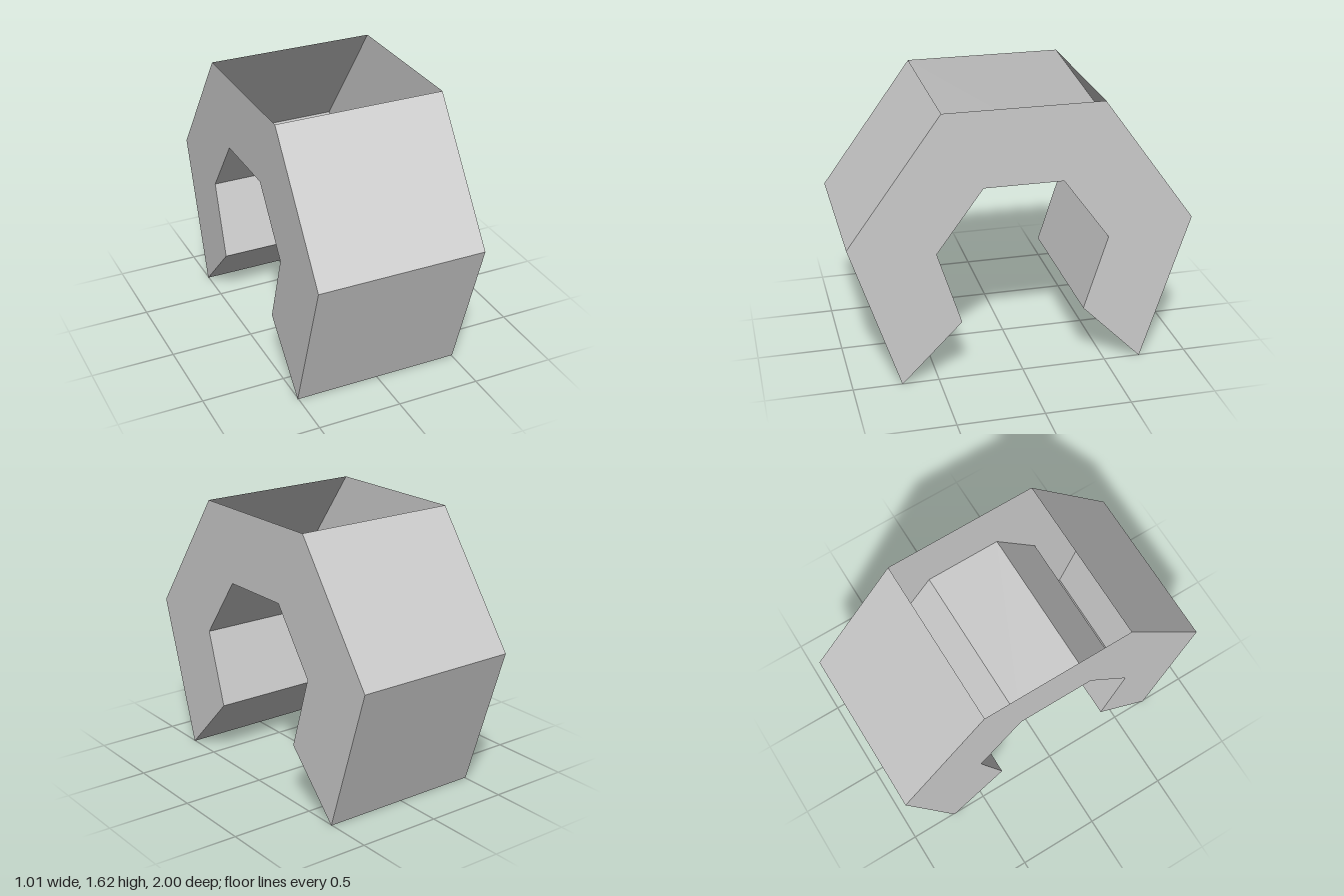
import * as THREE from 'three';

const HALF_WIDTH = 0.505;

// Front half of the arch profile as [z, y]: outer corners going up, inner corners going down
const outer = [[0.715, 0], [1, 0.875], [0.46, 1.62]];
const inner = [[0.23, 1.17], [0.5, 0.8], [0.36, 0.36]];
const mirror = (pts) => pts.map(([z, y]) => [-z, y]).reverse();
const profile = [...outer, ...mirror(outer), ...mirror(inner), ...inner];

// One name per profile edge; the top edge stays open so the hollow shell shows
const edgeNames = [
  'frontLowerOuter', 'frontUpperOuter', null, 'backUpperOuter', 'backLowerOuter', 'backFoot',
  'backLowerInner', 'backUpperInner', 'innerCeiling', 'frontUpperInner', 'frontLowerInner', 'frontFoot',
];

// Flat panel across the full width, along one edge of the profile
function panelGeometry([z0, y0], [z1, y1]) {
  const w = HALF_WIDTH;
  const geo = new THREE.BufferGeometry();
  geo.setAttribute('position', new THREE.Float32BufferAttribute(
    [-w, y0, z0, w, y0, z0, w, y1, z1, -w, y1, z1], 3));
  geo.setIndex([0, 1, 2, 0, 2, 3]);
  geo.computeVertexNormals();
  return geo;
}

export function createModel() {
  const group = new THREE.Group();
  group.name = 'hollowArch';
  const grey = new THREE.MeshStandardMaterial({ color: 0xcccccc, side: THREE.DoubleSide });
  grey.name = 'lightGrey';

  const add = (geo, name) => {
    const mesh = new THREE.Mesh(geo, grey);
    mesh.name = name;
    group.add(mesh);
    return mesh;
  };

  // Outer faces, inner faces and feet
  edgeNames.forEach((name, i) => {
    if (name) add(panelGeometry(profile[i], profile[(i + 1) % profile.length]), name);
  });

  // Arch-shaped side walls
  const shape = new THREE.Shape(profile.map(([z, y]) => new THREE.Vector2(z, y)));
  for (const side of [1, -1]) {
    const wall = add(new THREE.ShapeGeometry(shape), side > 0 ? 'leftWall' : 'rightWall');
    wall.rotation.y = side * Math.PI / 2;
    wall.position.x = side * HALF_WIDTH;
  }
  return group;
}
